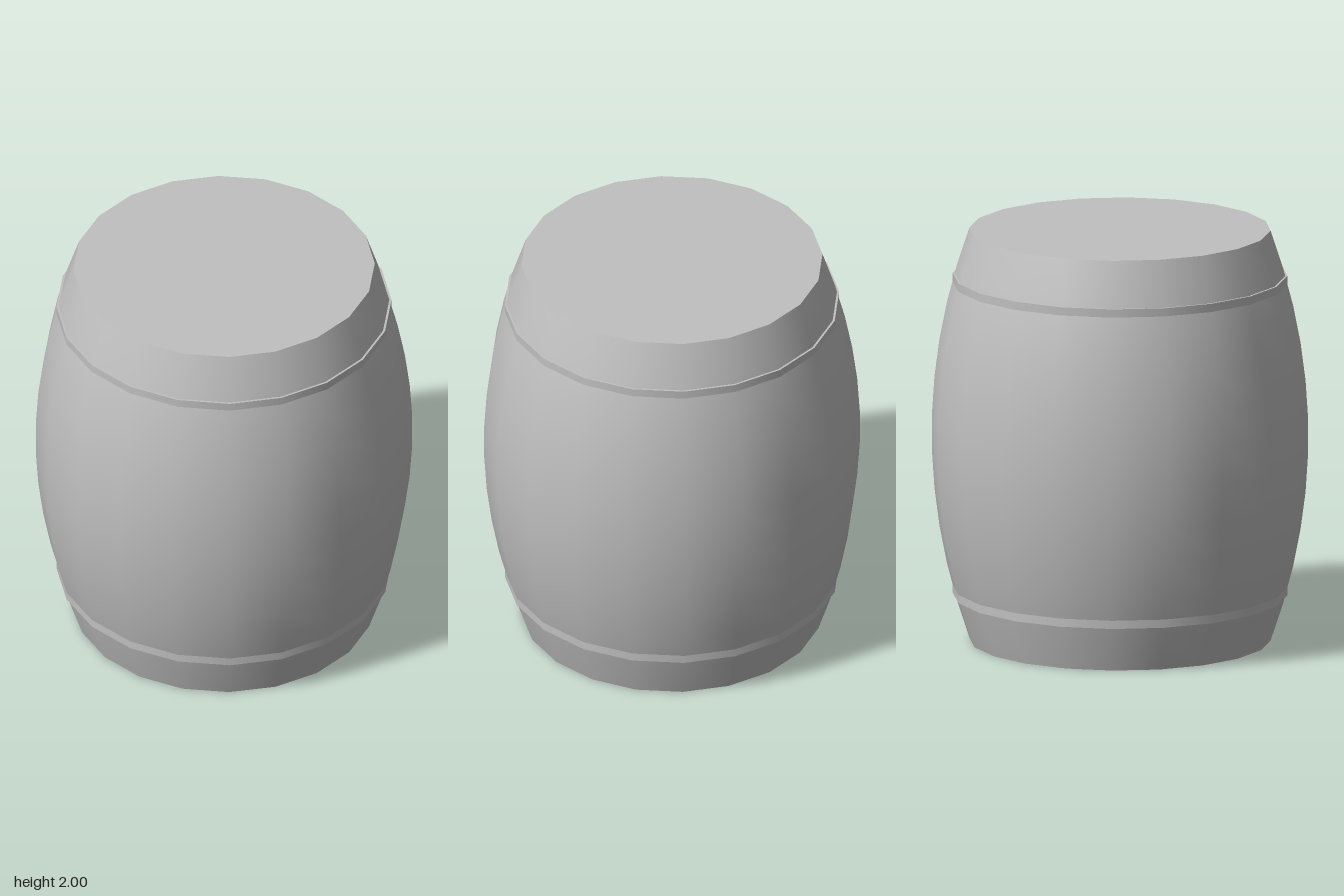
import * as THREE from 'three';

const SIDES = 20;

export function createModel() {
  const grey = new THREE.MeshStandardMaterial({ color: 0xc0c0c0 });
  grey.name = 'grey';
  const barrel = new THREE.Group();
  barrel.name = 'barrel';

  // Revolve a [radius, height] profile, listed from bottom to top
  const lathe = (name, profile, parent) => {
    const points = profile.map(([r, y]) => new THREE.Vector2(r, y));
    const mesh = new THREE.Mesh(new THREE.LatheGeometry(points, SIDES), grey);
    mesh.name = name;
    parent.add(mesh);
    return mesh;
  };

  // Bulging staves: parabolic profile, widest at mid height
  const rings = 11;
  const staves = [];
  for (let i = 0; i <= rings; i++) {
    const y = (2 * i) / rings;
    staves.push([0.72 + 0.18 * (1 - (y - 1) ** 2), y]);
  }
  lathe('staves', staves, barrel);

  // Matching ends: flat lid and a hoop with a narrow ledge
  for (const [name, side] of [['bottom', 1], ['top', -1]]) {
    const end = new THREE.Group();
    end.name = name + 'End';
    lathe(name + 'Lid', [[0, 0], [0.72, 0]], end);
    lathe(name + 'HoopLedge', [[0.785, 0.22], [0.8, 0.22]], end);
    lathe(name + 'HoopBand', [[0.8, 0.22], [0.8, 0.27]], end);
    end.scale.y = side;
    end.position.y = side === 1 ? 0 : 2;
    barrel.add(end);
  }
  return barrel;
}
